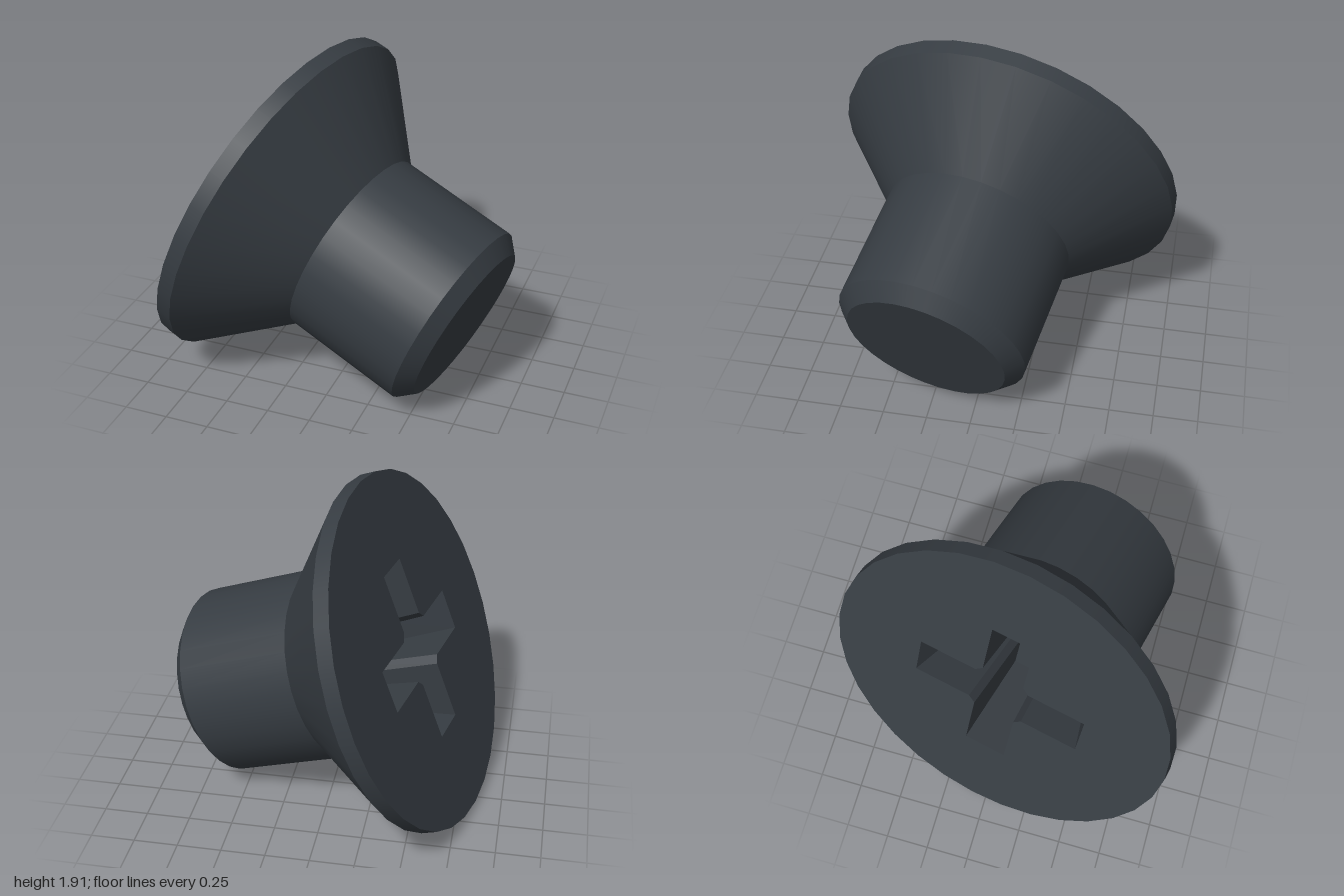
import * as THREE from 'three';

const SIDES = 32;

// Outline of the cross slot: half length, half width, inner corner chamfer
function crossOutline(len, wid, cham) {
  const quarter = [[len, -wid], [len, wid], [wid + cham, wid], [wid, wid + cham]];
  const pts = [];
  for (let k = 0; k < 4; k++) {
    for (const [x, y] of quarter) {
      pts.push(new THREE.Vector2(x, y).rotateAround(new THREE.Vector2(), k * Math.PI / 2));
    }
  }
  return pts;
}

// Inward-facing walls joining an outline at z = 0 to one at z = -depth
function slotWalls(top, bottom, depth) {
  const pos = [];
  top.forEach((a, i) => {
    const j = (i + 1) % top.length;
    const b = top[j], c = bottom[j], d = bottom[i];
    pos.push(a.x, a.y, 0, b.x, b.y, 0, c.x, c.y, -depth);
    pos.push(a.x, a.y, 0, c.x, c.y, -depth, d.x, d.y, -depth);
  });
  const geo = new THREE.BufferGeometry();
  geo.setAttribute('position', new THREE.Float32BufferAttribute(pos, 3));
  geo.computeVertexNormals();
  return geo;
}

export function createModel() {
  const steel = new THREE.MeshStandardMaterial({ color: 0x363c42 });
  steel.name = 'dark steel';

  const model = new THREE.Group();
  model.name = 'countersunkScrew';
  const screw = new THREE.Group();
  screw.name = 'screw';
  model.add(screw);

  const add = (name, geo) => {
    const mesh = new THREE.Mesh(geo, steel);
    mesh.name = name;
    screw.add(mesh);
  };

  // Turned body: separate bands keep the edges between them sharp
  const bands = [
    ['tipFace', 0, 1.335, 0.462, 1.335],
    ['tipChamfer', 0.462, 1.335, 0.547, 1.25],
    ['shank', 0.547, 1.25, 0.55, 0.548],
    ['headCone', 0.55, 0.548, 1.01, 0.09],
    ['headRim', 1.01, 0.09, 1.01, 0],
  ];
  for (const [name, r0, t0, r1, t1] of bands) {
    const profile = [new THREE.Vector2(r0, -t0), new THREE.Vector2(r1, -t1)];
    add(name, new THREE.LatheGeometry(profile, SIDES).rotateX(Math.PI / 2));
  }

  // Flat head face with the cross slot cut out
  const rim = [];
  for (let i = 0; i < SIDES; i++) {
    const a = i / SIDES * Math.PI * 2;
    rim.push(new THREE.Vector2(1.01 * Math.cos(a), 1.01 * Math.sin(a)));
  }
  const slotTop = crossOutline(0.5, 0.123, 0.04);
  const slotBottom = crossOutline(0.36, 0.095, 0.04);
  const depth = 0.54;
  const face = new THREE.Shape(rim);
  face.holes.push(new THREE.Path(slotTop));
  add('headFace', new THREE.ShapeGeometry(face));

  // Tapered slot
  add('slotWalls', slotWalls(slotTop, slotBottom, depth));
  add('slotFloor', new THREE.ShapeGeometry(new THREE.Shape(slotBottom)).translate(0, 0, -depth));

  // Lay the screw on its rim: local z points out of the head
  const out = new THREE.Vector3(-0.911, 0.365, -0.192).normalize();
  const side = new THREE.Vector3(0, 1, 0).cross(out).normalize();
  const up = out.clone().cross(side);
  screw.quaternion.setFromRotationMatrix(new THREE.Matrix4().makeBasis(side, up, out));
  screw.position.set(-0.494, 0.973, -0.008);

  return model;
}
